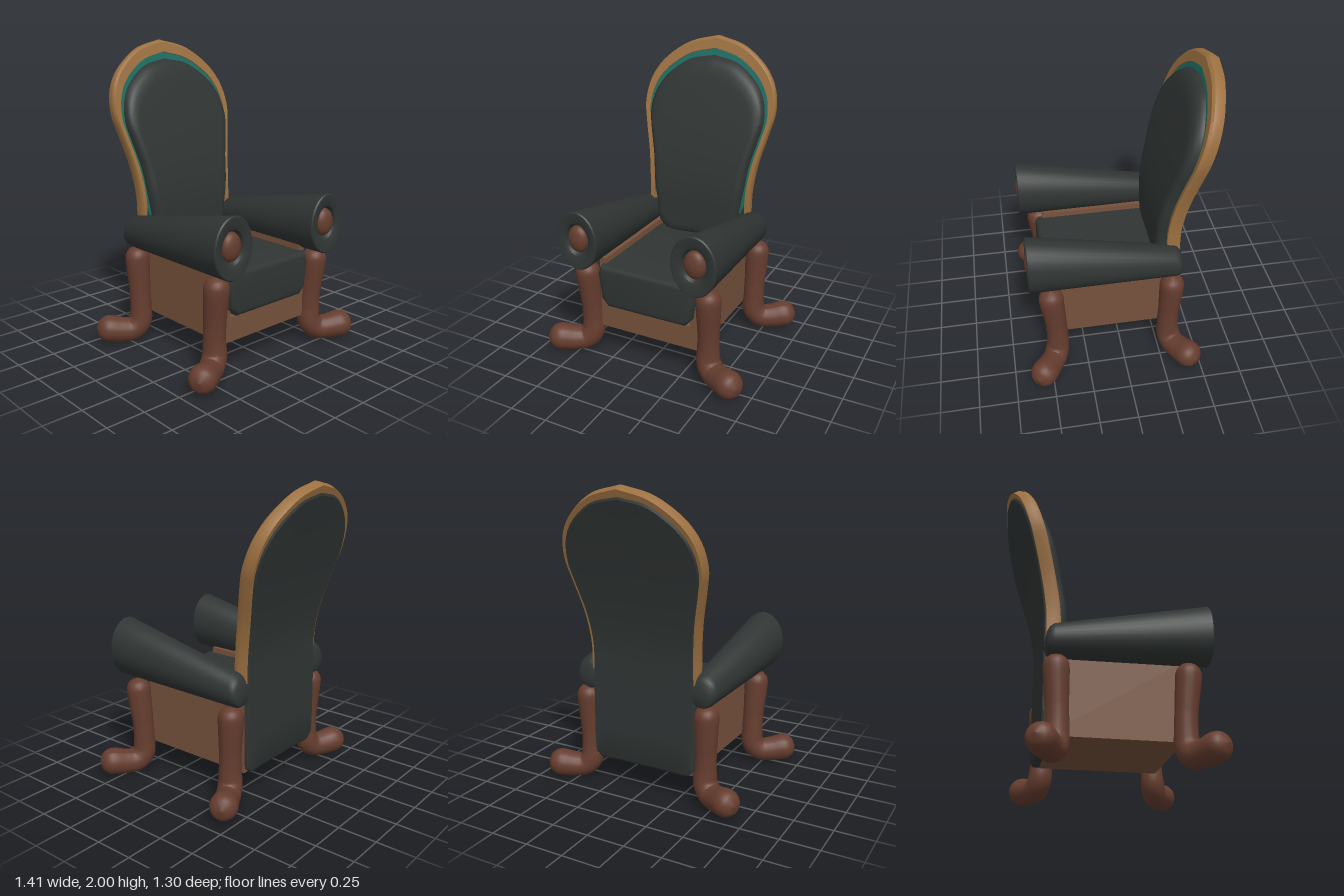
import * as THREE from 'three';
import { toCreasedNormals } from 'three/addons/utils/BufferGeometryUtils.js';

const mat = (color) => new THREE.MeshStandardMaterial({ color });
const leather = mat(0x303534), wood = mat(0x663d2f), panelWood = mat(0x76513c),
  gold = mat(0x9c7040), trim = mat(0x1c6a60);
const OFFSET = -0.013; // arms and backrest sit slightly to one side

function add(parent, name, geometry, material) {
  const mesh = new THREE.Mesh(geometry, material);
  mesh.name = name;
  parent.add(mesh);
  return mesh;
}

// Skin a stack of closed rings, each an array of [x, y, z]
function loft(rings, crease = 0.6) {
  const n = rings[0].length, index = [];
  for (let i = 0; i < rings.length - 1; i++) {
    for (let j = 0; j < n; j++) {
      const a = i * n + j, a1 = i * n + (j + 1) % n;
      index.push(a, a1, a1 + n, a, a1 + n, a + n);
    }
  }
  const g = new THREE.BufferGeometry();
  g.setAttribute('position', new THREE.Float32BufferAttribute(rings.flat(2), 3));
  g.setIndex(index);
  return toCreasedNormals(g, crease);
}

// Backrest: front plane leans back with height
const CENTRE = 1.1;
const lean = (y) => {
  const d = Math.max(0, y - 0.9);
  return -0.302 - 0.367 * d * d / (d + 0.5);
};
const at = ([x, y], s, dz) => {
  const yy = CENTRE + (y - CENTRE) * s;
  return [x * s, yy, lean(yy) + dz];
};

// Balloon outline, counter-clockwise from the lower right over the top
const crown = [[0.385, 1.0], [0.41, 1.2], [0.457, 1.4], [0.484, 1.54], [0.464, 1.68],
  [0.412, 1.78], [0.335, 1.86], [0.195, 1.95]];
function outline(lower, apex, steps = 44) {
  const pts = [...lower, ...crown, [0, apex]].map(([x, y]) => new THREE.Vector3(x, y, 0));
  const half = new THREE.CatmullRomCurve3(pts, false, 'centripetal')
    .getSpacedPoints(steps).map((p) => [Math.max(0, p.x), p.y]);
  return [...half, ...half.slice(0, -1).reverse().map(([x, y]) => [-x, y])];
}

// Padded slab: concentric copies of the outline, back centre to front centre
function slab(lower, profile) {
  const path = outline(lower, 1.99).slice(0, -1);
  const inner = [0.001, 0.12, 0.25, 0.38, 0.5, 0.62, 0.7];
  const back = profile[0][1], front = profile[profile.length - 1][1];
  const steps = [...inner.map((s) => [s, back]), ...profile,
    ...inner.slice().reverse().map((s) => [s, front])];
  return loft(steps.map(([s, dz]) => path.map((p) => at(p, s, dz))));
}

function makeBackrest() {
  const g = new THREE.Group();
  g.name = 'backrest';
  g.position.x = OFFSET;
  add(g, 'backCushion', slab([[0, 0.58], [0.25, 0.58], [0.33, 0.64], [0.36, 0.85]],
    [[0.85, -0.03], [0.868, -0.03], [0.87, 0.003], [0.86, 0.028], [0.835, 0.047], [0.79, 0.058], [0.74, 0.06]]), leather);
  add(g, 'backTrim', slab([[0, 0.75], [0.2, 0.75], [0.31, 0.8], [0.365, 0.9]],
    [[0.88, -0.04], [0.94, -0.04], [0.94, -0.004], [0.85, -0.004]]), trim);
  add(g, 'backPanel', slab([[0, 0.138], [0.2, 0.138], [0.35, 0.138], [0.38, 0.165], [0.388, 0.25], [0.388, 0.6]],
    [[0.92, -0.09], [0.94, -0.078], [0.94, -0.03], [0.9, -0.03]]), leather);
  // Wooden frame: one cross-section carried along the outline
  const section = [[0.985, 0.006], [1, -0.008], [1, -0.035], [0.975, -0.08],
    [0.925, -0.08], [0.9, -0.03], [0.913, 0.004]];
  const path = outline([[0.38, 0.69], [0.382, 0.85]], 2);
  const rings = path.map((p) => section.map(([s, dz]) => at(p, s, dz)));
  const cap = (p) => section.map(() => at(p, 0.95, -0.035));
  add(g, 'backFrame', loft([cap(path[0]), ...rings, cap(path[path.length - 1])]), gold);
  return g;
}

// Scrolled arm: elliptical rings [z, centre y, half width, half height]
function makeArm(side) {
  const g = new THREE.Group();
  g.name = side > 0 ? 'leftArm' : 'rightArm';
  g.position.x = OFFSET + side * 0.408;
  const sections = [[-0.392, 0.735, 0, 0], [-0.39, 0.736, 0.05, 0.045], [-0.38, 0.745, 0.078, 0.078],
    [-0.365, 0.754, 0.09, 0.096], [-0.34, 0.762, 0.097, 0.107],
    [0.605, 0.862, 0.15, 0.197], [0.613, 0.862, 0.143, 0.19],
    [0.612, 0.863, 0.105, 0.14], [0.6, 0.865, 0.085, 0.11], [0.575, 0.867, 0.075, 0.095],
    [0.575, 0.867, 0, 0]];
  const n = 32;
  add(g, 'armRoll', loft(sections.map(([z, cy, rx, ry]) => Array.from({ length: n }, (_, j) => {
    const a = j / n * Math.PI * 2;
    return [rx * Math.cos(a), cy + ry * Math.sin(a), z];
  }))), leather);
  const boss = add(g, 'armRosette', new THREE.SphereGeometry(1, 24, 16), wood);
  boss.scale.set(0.071, 0.09, 0.045);
  boss.position.set(0, 0.868, 0.58);
  return g;
}

// Leg: round-ended tube that turns outward into a foot
function legGeometry(points, radii) {
  const path = new THREE.CatmullRomCurve3(points.map((p) => new THREE.Vector3(...p)));
  const seg = 60, sides = 20, len = path.getLength();
  const g = new THREE.TubeGeometry(path, seg, 1, sides);
  const pos = g.attributes.position, v = new THREE.Vector3();
  for (let i = 0; i <= seg; i++) {
    const t = i / seg, c = path.getPointAt(t);
    const k = t * (radii.length - 1), a = Math.min(Math.floor(k), radii.length - 2);
    const r = THREE.MathUtils.lerp(radii[a], radii[a + 1], k - a);
    const e = 1 - Math.min(1, Math.min(t, 1 - t) * len / r);
    const dome = r * Math.sqrt(Math.max(0, 1 - e * e));
    for (let j = 0; j <= sides; j++) {
      const q = i * (sides + 1) + j;
      v.fromBufferAttribute(pos, q).sub(c).multiplyScalar(dome).add(c);
      pos.setXYZ(q, v.x, v.y, v.z);
    }
  }
  g.computeVertexNormals();
  return g;
}

export function createModel() {
  const model = new THREE.Group();
  model.name = 'armchair';

  // Seat box with a notch in which the cushion rests
  const box = new THREE.Shape([[-0.355, 0.198], [0.355, 0.198], [0.355, 0.7], [0.31, 0.7],
    [0.3, 0.36], [-0.3, 0.36], [-0.31, 0.7], [-0.355, 0.7]].map((p) => new THREE.Vector2(...p)));
  const boxGeometry = new THREE.ExtrudeGeometry(box, { depth: 0.815, bevelEnabled: false });
  add(model, 'seatBox', boxGeometry.translate(0, 0, -0.365), panelWood);

  // Seat cushion, tapering below
  const pad = new THREE.Shape([[-0.28, 0.375], [0.28, 0.375], [0.325, 0.425], [0.347, 0.6],
    [0.33, 0.662], [-0.33, 0.662], [-0.347, 0.6], [-0.325, 0.425]].map((p) => new THREE.Vector2(...p)));
  const padGeometry = new THREE.ExtrudeGeometry(pad, {
    depth: 0.77, bevelThickness: 0.035, bevelSize: 0.035, bevelOffset: -0.035, bevelSegments: 3,
  });
  const cushion = add(model, 'seatCushion', toCreasedNormals(padGeometry, 0.6), leather);
  cushion.position.z = -0.3;

  model.add(makeBackrest());

  // Legs with rounded outward feet
  const front = [[0.437, 0.668, 0.477], [0.435, 0.56, 0.472], [0.43, 0.4, 0.455], [0.427, 0.25, 0.445],
    [0.432, 0.14, 0.45], [0.475, 0.088, 0.472], [0.55, 0.086, 0.518], [0.61, 0.098, 0.555], [0.69, 0.108, 0.606]];
  const back = [[0.437, 0.668, -0.325], [0.435, 0.56, -0.322], [0.43, 0.4, -0.315], [0.427, 0.25, -0.31],
    [0.432, 0.14, -0.315], [0.475, 0.088, -0.335], [0.55, 0.086, -0.375], [0.61, 0.098, -0.41], [0.692, 0.108, -0.455]];
  const radii = [0.08, 0.08, 0.075, 0.07, 0.071, 0.079, 0.08, 0.089, 0.092];
  for (const side of [1, -1]) {
    model.add(makeArm(side));
    const label = side > 0 ? 'Left' : 'Right';
    const flip = (pts) => pts.map(([x, y, z]) => [side * x, y, z]);
    add(model, 'front' + label + 'Leg', legGeometry(flip(front), radii), wood);
    add(model, 'back' + label + 'Leg', legGeometry(flip(back), radii), wood);
  }
  return model;
}
